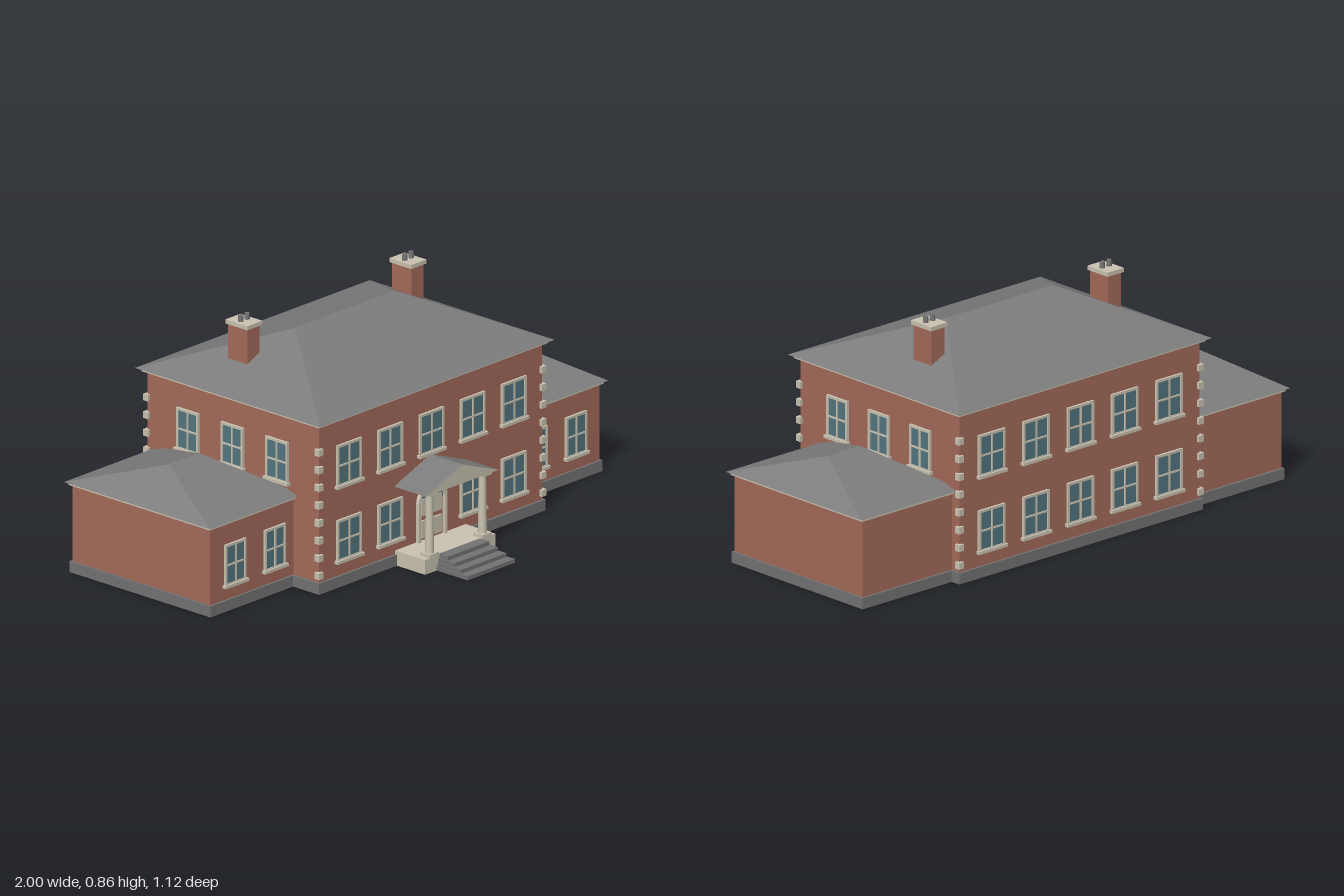
import * as THREE from 'three';
import { ConvexGeometry } from 'three/addons/geometries/ConvexGeometry.js';

const mat = (name, color) => {
  const m = new THREE.MeshStandardMaterial({ color });
  m.name = name;
  return m;
};

export function createModel() {
  const brick = mat('brick', 0xa56b5a);
  const slate = mat('slate', 0x7c7c7c);
  const stone = mat('grey stone', 0x747474);
  const cream = mat('cream trim', 0xcbc4b2);
  const glass = mat('window glass', 0x547680);

  const house = new THREE.Group();
  house.name = 'house';

  const add = (parent, name, geometry, material, x = 0, y = 0, z = 0) => {
    const mesh = new THREE.Mesh(geometry, material);
    mesh.name = name;
    mesh.position.set(x, y, z);
    parent.add(mesh);
    return mesh;
  };
  // Box given by its limits on each axis
  const block = (parent, name, material, [x0, x1], [y0, y1], [z0, z1]) =>
    add(parent, name, new THREE.BoxGeometry(x1 - x0, y1 - y0, z1 - z0), material,
      (x0 + x1) / 2, (y0 + y1) / 2, (z0 + z1) / 2);
  const group = (parent, name) => {
    const g = new THREE.Group();
    g.name = name;
    parent.add(g);
    return g;
  };
  // Hipped roof: rectangular eave and a straight ridge
  const hipRoof = (parent, name, [x0, x1], [z0, z1], y, [r0, r1], ridgeY) => {
    const zm = (z0 + z1) / 2;
    const points = [[x0, y, z0], [x1, y, z0], [x1, y, z1], [x0, y, z1], [r0, ridgeY, zm], [r1, ridgeY, zm]];
    add(parent, name, new ConvexGeometry(points.map(p => new THREE.Vector3(...p))), slate);
  };
  const rect = (Type, x0, x1, y0, y1) => {
    const s = new Type();
    s.moveTo(x0, y0); s.lineTo(x1, y0); s.lineTo(x1, y1); s.lineTo(x0, y1); s.closePath();
    return s;
  };

  // Four-pane window with sill, facing +z before turning
  const windowAt = (w, h, x, y, z, turn = 0) => {
    const g = group(house, 'window');
    const frame = rect(THREE.Shape, -w / 2, w / 2, -h / 2, h / 2);
    const edge = 0.009, bar = 0.003;
    for (const sx of [-1, 1]) for (const sy of [-1, 1]) {
      const xs = [sx * bar, sx * (w / 2 - edge)].sort((a, b) => a - b);
      const ys = [sy * bar, sy * (h / 2 - edge)].sort((a, b) => a - b);
      frame.holes.push(rect(THREE.Path, ...xs, ...ys));
    }
    add(g, 'windowFrame', new THREE.ExtrudeGeometry(frame, { depth: 0.009, bevelEnabled: false }), cream);
    add(g, 'windowGlass', new THREE.BoxGeometry(w - 0.01, h - 0.01, 0.006), glass, 0, 0, 0.002);
    block(g, 'windowSill', cream, [-w / 2 - 0.006, w / 2 + 0.006], [-h / 2 - 0.005, -h / 2 + 0.006], [0, 0.016]);
    g.position.set(x, y, z);
    g.rotation.y = turn;
  };

  // Main block
  const front = 0.275, back = -0.525, side = 0.56;
  block(house, 'mainPlinth', stone, [-0.569, 0.569], [0, 0.04], [back - 0.009, front + 0.009]);
  block(house, 'mainWalls', brick, [-side, side], [0.04, 0.612], [back, front]);
  block(house, 'mainCornice', cream, [-0.575, 0.575], [0.61, 0.622], [back - 0.015, front + 0.015]);
  hipRoof(house, 'mainRoof', [-0.59, 0.59], [-0.557, 0.307], 0.622, [-0.25, 0.25], 0.785);

  // Wings
  for (const s of [-1, 1]) {
    const span = (a, b) => (s > 0 ? [a, b] : [-b, -a]);
    const wing = group(house, s > 0 ? 'leftWing' : 'rightWing');
    block(wing, 'wingPlinth', stone, span(0.54, 0.985), [0, 0.04], [-0.496, 0.163]);
    block(wing, 'wingWalls', brick, span(0.54, 0.978), [0.04, 0.32], [-0.487, 0.155]);
    block(wing, 'wingCornice', cream, span(0.54, 0.988), [0.318, 0.329], [-0.497, 0.165]);
    hipRoof(wing, 'wingRoof', span(0.53, 1), [-0.508, 0.176], 0.329, span(0.69, 0.84), 0.437);
    for (const x of [0.658, 0.856]) windowAt(0.105, 0.152, s * x, 0.166, 0.155);
    // Upper side windows above the wing
    for (const z of [0.083, -0.125, -0.333]) windowAt(0.104, 0.152, s * side, 0.441, z, s * Math.PI / 2);
  }

  // Front and back windows; the door takes the middle of the front
  for (let i = -2; i <= 2; i++) for (const y of [0.168, 0.441]) {
    windowAt(0.122, 0.152, i * 0.207, y, back, Math.PI);
    if (i !== 0 || y > 0.3) windowAt(0.122, 0.152, i * 0.207, y, front);
  }

  // Corner quoins
  const quoins = group(house, 'quoins');
  for (const x of [-side, side]) for (const z of [front, back]) for (let i = 0; i < 8; i++)
    add(quoins, 'quoin', new THREE.BoxGeometry(0.022, 0.024, 0.022), cream, x, 0.066 + i * 0.0643, z);

  // Chimneys
  for (const s of [-1, 1]) {
    const chimney = group(house, 'chimney');
    add(chimney, 'chimneyStack', new THREE.BoxGeometry(0.062, 0.16, 0.09), brick, 0, 0.74, 0);
    add(chimney, 'chimneyCap', new THREE.BoxGeometry(0.076, 0.015, 0.102), cream, 0, 0.8275, 0);
    for (const x of [-0.016, 0.016])
      add(chimney, 'chimneyPot', new THREE.CylinderGeometry(0.009, 0.01, 0.023, 12), stone, x, 0.846, 0);
    chimney.position.set(s * 0.412, 0, -0.213);
  }

  // Porch: platform, columns and gabled roof
  const porch = group(house, 'porch');
  block(porch, 'porchPlatform', cream, [-0.177, 0.177], [0, 0.054], [front, 0.415]);
  for (const x of [-0.133, 0.133]) {
    add(porch, 'columnBase', new THREE.BoxGeometry(0.046, 0.013, 0.046), cream, x, 0.06, 0.394);
    add(porch, 'columnShaft', new THREE.CylinderGeometry(0.013, 0.016, 0.212, 20), cream, x, 0.172, 0.394);
    add(porch, 'columnCapital', new THREE.BoxGeometry(0.046, 0.011, 0.046), cream, x, 0.283, 0.394);
  }
  const gable = new THREE.Shape([[-0.183, 0.288], [0.183, 0.288], [0, 0.357]].map(p => new THREE.Vector2(...p)));
  add(porch, 'porchGable', new THREE.ExtrudeGeometry(gable, { depth: 0.424 - front, bevelEnabled: false }),
    [cream, slate], 0, 0, front);

  // Steps, each narrower and further back than the one below
  for (let i = 0; i < 4; i++) {
    const w = 0.119 - i * 0.005;
    block(porch, 'step', stone, [-w, w], [i * 0.014, (i + 1) * 0.014], [0.41, 0.559 - i * 0.035]);
  }

  // Door with panels, arched surround and fanlight
  const door = group(house, 'door');
  for (const y of [[0.064, 0.127], [0.145, 0.205]])
    block(door, 'doorPanel', cream, [-0.05, 0.05], y, [front, front + 0.008]);
  const arch = new THREE.Shape();
  arch.moveTo(0.072, 0.054);
  arch.lineTo(0.072, 0.19);
  arch.absarc(0, 0.19, 0.072, 0, Math.PI, false);
  arch.lineTo(-0.072, 0.054);
  arch.lineTo(-0.061, 0.054);
  arch.lineTo(-0.061, 0.19);
  arch.absarc(0, 0.19, 0.061, Math.PI, 0, true);
  arch.lineTo(0.061, 0.054);
  add(door, 'doorSurround', new THREE.ExtrudeGeometry(arch, { depth: 0.014, bevelEnabled: false, curveSegments: 16 }),
    cream, 0, 0, front);
  add(door, 'fanlight', new THREE.CircleGeometry(0.061, 24, 0, Math.PI), glass, 0, 0.19, front + 0.003);
  for (const a of [-0.7, 0, 0.7]) {
    const bar = add(door, 'fanlightBar', new THREE.BoxGeometry(0.004, 0.06, 0.005), cream,
      -Math.sin(a) * 0.032, 0.19 + Math.cos(a) * 0.032, front + 0.004);
    bar.rotation.z = a;
  }
  return house;
}
